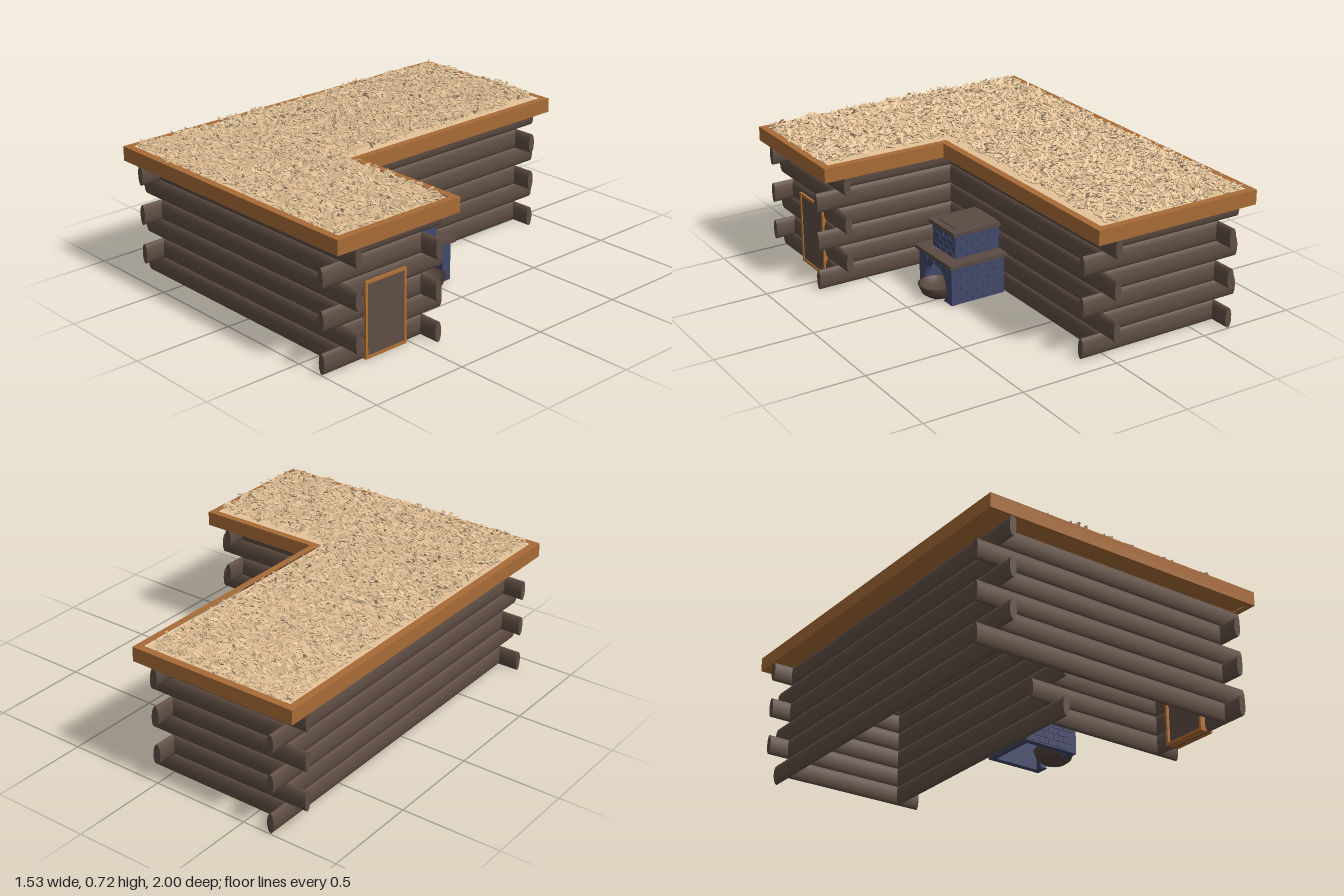
import * as THREE from 'three';
import { mergeGeometries } from 'three/addons/utils/BufferGeometryUtils.js';

const paint = (name, color, side = THREE.FrontSide) => {
  const m = new THREE.MeshStandardMaterial({ color, side });
  m.name = name;
  return m;
};

export function createModel() {
  const model = new THREE.Group();
  const log = paint('log brown', 0x5f4e44);
  const wood = paint('trim wood', 0xa86b37);
  const frame = paint('door frame wood', 0xb27034);
  const tan = paint('straw tan', 0xe4c398);
  const brick = paint('blue brick', 0x42486a);
  const stone = paint('stone ledge', 0x5a4a43);
  const bowlMat = paint('bowl brown', 0x54443c, THREE.DoubleSide);

  const add = (parent, name, geo, mat) => {
    const m = new THREE.Mesh(geo, mat);
    m.name = name;
    parent.add(m);
    return m;
  };
  const group = (name) => {
    const g = new THREE.Group();
    g.name = name;
    model.add(g);
    return g;
  };
  // box given by its lower and upper limits
  const box = (parent, name, mat, x0, x1, y0, y1, z0, z1) => {
    const m = add(parent, name, new THREE.BoxGeometry(x1 - x0, y1 - y0, z1 - z0), mat);
    m.position.set((x0 + x1) / 2, (y0 + y1) / 2, (z0 + z1) / 2);
  };

  // Log walls: each log runs past only one of its corners, swapping ends row by row
  const walls = group('logWalls');
  const OVER = 0.115;
  const wallList = [ // axis, fixed coordinate, start, end, even rows overrun at the start
    ['x', 0.88, -0.645, 0.645, true],
    ['x', -0.88, -0.645, 0, false],
    ['x', 0.41, 0, 0.645, false],
    ['z', -0.645, -0.88, 0.88, true],
    ['z', 0, -0.88, 0.41, false],
    ['z', 0.645, 0.41, 0.88, false],
  ];
  for (const [axis, at, a, b, evenAtStart] of wallList) {
    for (let row = 0; row < 6; row++) {
      const atStart = (row % 2 === 0) === evenAtStart;
      const s = atStart ? a - OVER : a;
      const e = atStart ? b : b + OVER;
      const geo = new THREE.CylinderGeometry(1, 1, e - s, 20);
      geo.scale(0.051, 1, 0.018).rotateZ(Math.PI / 2);
      if (axis === 'z') geo.rotateY(Math.PI / 2);
      const mid = (s + e) / 2, y = 0.051 + row * 0.1;
      const m = add(walls, 'wallLog', geo, log);
      m.position.set(axis === 'x' ? mid : at, y, axis === 'x' ? at : mid);
    }
  }

  // L-shaped roof outline, shrunk by an inset
  const outline = (d, Kind = THREE.Shape) => new Kind([
    [-0.767 + d, -1 + d], [0.115 - d, -1 + d], [0.115 - d, 0.29 + d],
    [0.765 - d, 0.29 + d], [0.765 - d, 1 - d], [-0.767 + d, 1 - d],
  ].map(([x, z]) => new THREE.Vector2(x, -z)));
  const slab = (shape, y0, y1) => new THREE.ExtrudeGeometry(shape, { depth: y1 - y0, bevelEnabled: false })
    .rotateX(-Math.PI / 2).translate(0, y0, 0);

  const roof = group('roof');
  const rim = outline(0);
  rim.holes.push(outline(0.037, THREE.Path));
  add(roof, 'roofRim', slab(rim, 0.595, 0.667), wood);
  add(roof, 'roofUnderside', slab(outline(0.036), 0.597, 0.64), wood);
  add(roof, 'strawBed', slab(outline(0.036), 0.64, 0.66), tan);

  // Loose straw in uneven clumps on a grid of cells
  let seed = 7;
  const rnd = () => (seed = (seed * 16807) % 2147483647) / 2147483647;
  const chips = [];
  const euler = new THREE.Euler(), quat = new THREE.Quaternion(), one = new THREE.Vector3(1, 1, 1);
  for (let i = 0; i < 15; i++) {
    for (let j = 0; j < 20; j++) {
      const lift = rnd() * 0.014;
      for (let k = 0; k < 36; k++) {
        const x = -0.665 + i * 0.0965 + (rnd() - 0.5) * 0.094;
        const z = -0.915 + j * 0.0965 + (rnd() - 0.5) * 0.094;
        if (x > 0.04 && z < 0.355) continue;
        const geo = new THREE.BoxGeometry(0.02 + rnd() * 0.025, 0.004, 0.007 + rnd() * 0.01);
        euler.set((rnd() - 0.5) * 1.8, rnd() * 6.28, (rnd() - 0.5) * 1.0);
        const p = new THREE.Vector3(x, 0.665 + lift + rnd() * 0.019, z);
        chips.push(geo.applyMatrix4(new THREE.Matrix4().compose(p, quat.setFromEuler(euler), one)));
      }
    }
  }
  add(roof, 'straw', mergeGeometries(chips), tan);

  // Door in the short end wall
  const door = group('door');
  box(door, 'doorPanel', log, 0.615, 0.667, 0.01, 0.365, 0.53, 0.755);
  box(door, 'doorPostBack', frame, 0.6, 0.672, 0.002, 0.373, 0.521, 0.534);
  box(door, 'doorPostFront', frame, 0.6, 0.672, 0.002, 0.373, 0.75, 0.763);
  box(door, 'doorLintel', frame, 0.6, 0.672, 0.36, 0.373, 0.534, 0.75);
  box(door, 'doorSill', frame, 0.6, 0.672, 0.002, 0.015, 0.534, 0.75);

  // Brick oven on the inner wall, hollow and open below
  const oven = group('oven');
  const face = new THREE.Shape(); // drawn in (-z, y)
  face.moveTo(-0.197, 0);
  face.lineTo(-0.122, 0);
  face.absarc(-0.045, 0.065, 0.1, Math.PI + 0.7, -0.7, true);
  face.lineTo(0.032, 0);
  face.lineTo(0.105, 0);
  face.lineTo(0.105, 0.198);
  face.lineTo(-0.197, 0.198);
  face.closePath();
  add(oven, 'ovenFront', new THREE.ExtrudeGeometry(face, { depth: 0.03, bevelEnabled: false, curveSegments: 20 })
    .rotateY(Math.PI / 2).translate(0.285, 0, 0), brick);
  box(oven, 'ovenBack', brick, 0.019, 0.045, 0.001, 0.198, -0.105, 0.197);
  box(oven, 'ovenSideBack', brick, 0.045, 0.286, 0.001, 0.198, -0.105, -0.075);
  box(oven, 'ovenSideFront', brick, 0.045, 0.286, 0.001, 0.198, 0.167, 0.197);
  box(oven, 'ovenCeiling', brick, 0.045, 0.286, 0.18, 0.197, -0.075, 0.167);
  box(oven, 'lowerLedge', stone, 0.01, 0.333, 0.197, 0.216, -0.125, 0.208);
  box(oven, 'ovenTop', brick, 0.01, 0.265, 0.216, 0.338, -0.055, 0.15);
  box(oven, 'upperLedge', stone, 0.01, 0.282, 0.336, 0.356, -0.07, 0.162);
  box(oven, 'ovenCap', stone, 0.01, 0.245, 0.356, 0.36, -0.035, 0.125);

  // Raised bricks on the oven's sides and front
  const course = (y, x1, z0, z1, shift, front) => {
    for (let x = 0.03 + shift; x < x1 - 0.045; x += 0.06) {
      box(oven, 'sideBrick', brick, x, x + 0.05, y, y + 0.024, z0 - 0.004, z0 + 0.004);
      box(oven, 'sideBrick', brick, x, x + 0.05, y, y + 0.024, z1 - 0.004, z1 + 0.004);
    }
    if (!front) return;
    for (let z = z0 + 0.01 + shift; z < z1 - 0.045; z += 0.06) {
      box(oven, 'frontBrick', brick, x1 - 0.004, x1 + 0.004, y, y + 0.024, z, z + 0.05);
    }
  };
  for (let i = 0; i < 6; i++) course(0.008 + i * 0.031, 0.315, -0.105, 0.197, (i % 2) * 0.03, i === 5);
  for (let i = 0; i < 4; i++) course(0.219 + i * 0.029, 0.265, -0.055, 0.15, (i % 2) * 0.03, true);

  // Round bowl set in the oven mouth
  const profile = [[0, 0.002], [0.06, 0.003], [0.083, 0.02], [0.1, 0.062], [0.088, 0.062], [0.07, 0.025], [0, 0.016]]
    .map(([r, y]) => new THREE.Vector2(r, y));
  add(oven, 'bowl', new THREE.LatheGeometry(profile, 28), bowlMat).position.set(0.3, 0, 0.045);

  return model;
}
